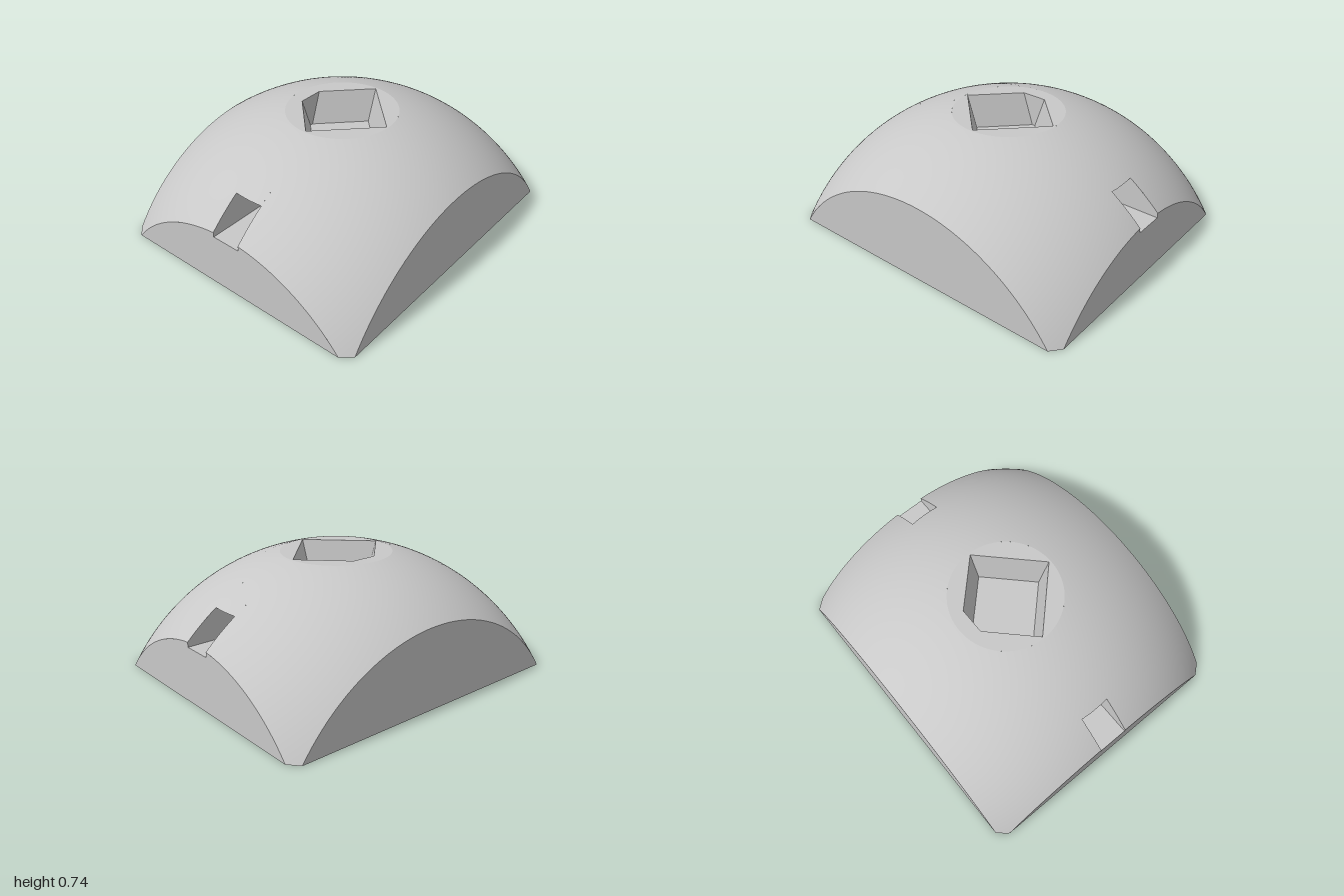
import * as THREE from 'three';

// Sphere that forms the dome, and the planes that trim it
const CY = -0.6447, R2 = 2.0396;
const HALF_X = 0.855, HALF_Z = 1, TOP = 0.742;
const radiusAt = (y) => Math.sqrt(R2 - (y - CY) ** 2);
const domeY = (x, z) => CY + Math.sqrt(Math.max(0, R2 - x * x - z * z));
const R_TOP = radiusAt(TOP), R_BASE = radiusAt(0);
const CORNER_X = Math.sqrt(R_BASE ** 2 - HALF_Z ** 2);
const CORNER_Z = Math.sqrt(R_BASE ** 2 - HALF_X ** 2);

// Square tunnel from front to back
const TW = 0.095, T_FLOOR = 0.34, T_CEIL = 0.53;
const ceilZ = (x) => Math.sqrt(radiusAt(T_CEIL) ** 2 - x * x);

// Tapered pit in the top, as [x, z] loops
const PIT_FLOOR = 0.54;
const RIM = [[0.33, 0], [0, -0.33], [-0.25, -0.08], [-0.25, 0.08], [0, 0.33]];
const FOOT = [[0.26, 0], [0, -0.26], [-0.25, -0.01], [-0.25, 0.01], [0, 0.26]];

const range = (a, b, n, f) => Array.from({ length: n + 1 }, (_, i) => f(a + (b - a) * i / n));
const vec = (list) => list.map(([x, y]) => new THREE.Vector2(x, y));
const flat = (pts) => new THREE.ShapeGeometry(new THREE.Shape(vec(pts)));

// Patch of the dome: columns over x, each running from the top disc to an outer z
function domePatch(xs, outerZ, sx, sz) {
  const rows = 32, pos = [], nor = [], index = [];
  xs.forEach((x, i) => {
    const z0 = Math.sqrt(Math.max(0, R_TOP ** 2 - x * x)), z1 = outerZ(x);
    for (let j = 0; j <= rows; j++) {
      const z = z0 + (z1 - z0) * j / rows, y = domeY(x, z);
      const n = new THREE.Vector3(sx * x, y - CY, sz * z).normalize();
      pos.push(sx * x, y, sz * z);
      nor.push(n.x, n.y, n.z);
      if (i === xs.length - 1 || j === rows) continue;
      const a = i * (rows + 1) + j, b = a + 1, c = a + rows + 1, d = c + 1;
      if (sx * sz > 0) index.push(a, b, c, b, d, c);
      else index.push(a, c, b, b, c, d);
    }
  });
  const g = new THREE.BufferGeometry();
  g.setAttribute('position', new THREE.Float32BufferAttribute(pos, 3));
  g.setAttribute('normal', new THREE.Float32BufferAttribute(nor, 3));
  g.setIndex(index);
  return g;
}

export function createModel() {
  const model = new THREE.Group();
  model.name = 'trimmedDome';
  const grey = new THREE.MeshStandardMaterial({ color: 0xc8c8c8 });
  grey.name = 'grey';
  const add = (name, geometry) => {
    const mesh = new THREE.Mesh(geometry, grey);
    mesh.name = name;
    model.add(mesh);
    return mesh;
  };

  // Dome surface: four mirrored quadrants, with the tunnel mouths left open
  const middle = range(0, TW, 6, (x) => x);
  const side = [
    ...range(Math.asin(TW / R_TOP), Math.PI / 2, 16, (t) => R_TOP * Math.sin(t)),
    ...range(R_TOP, CORNER_X, 18, (x) => x).slice(1),
    ...range(CORNER_X, HALF_X, 6, (x) => x).slice(1),
  ];
  const edgeZ = (x) => Math.min(HALF_Z, Math.sqrt(R_BASE ** 2 - x * x));
  for (const sx of [1, -1]) for (const sz of [1, -1]) {
    add('domeMiddle', domePatch(middle, ceilZ, sx, sz));
    add('domeSide', domePatch(side, edgeZ, sx, sz));
  }

  // Flat disc on top with the pit opening
  const disc = new THREE.Shape().absarc(0, 0, R_TOP, 0, Math.PI * 2);
  disc.holes.push(new THREE.Path(vec(RIM)));
  add('topDisc', new THREE.ShapeGeometry(disc, 48).rotateX(-Math.PI / 2).translate(0, TOP, 0));

  // Pit walls and floor
  const walls = [];
  RIM.forEach((a, i) => {
    const k = (i + 1) % RIM.length;
    const p = (q, y) => [q[0], y, q[1]];
    const A = p(a, TOP), B = p(RIM[k], TOP), a0 = p(FOOT[i], PIT_FLOOR), b0 = p(FOOT[k], PIT_FLOOR);
    walls.push(...b0, ...a0, ...A, ...b0, ...A, ...B);
  });
  const pit = new THREE.BufferGeometry();
  pit.setAttribute('position', new THREE.Float32BufferAttribute(walls, 3));
  pit.computeVertexNormals();
  add('pitWalls', pit);
  add('pitFloor', flat(FOOT).rotateX(-Math.PI / 2).translate(0, PIT_FLOOR, 0));

  // Front and back faces, notched by the tunnel
  const endFace = [
    ...range(CORNER_X, TW, 32, (x) => [x, domeY(x, HALF_Z)]), [TW, T_FLOOR],
    [-TW, T_FLOOR], ...range(-TW, -CORNER_X, 32, (x) => [x, domeY(x, HALF_Z)]),
  ];
  add('frontFace', flat(endFace).translate(0, 0, HALF_Z));
  add('backFace', flat(endFace).translate(0, 0, HALF_Z).rotateY(Math.PI));

  // Left and right faces, and the tunnel's side walls
  const sideFace = range(CORNER_Z, -CORNER_Z, 64, (z) => [z, domeY(HALF_X, z)]);
  const tz = ceilZ(TW);
  const tunnelWall = [
    [-HALF_Z, T_FLOOR], [HALF_Z, T_FLOOR],
    ...range(HALF_Z, tz, 8, (z) => [z, domeY(TW, z)]),
    ...range(-tz, -HALF_Z, 8, (z) => [z, domeY(TW, z)]),
  ];
  for (const s of [1, -1]) {
    const name = s > 0 ? 'left' : 'right';
    add(name + 'Face', flat(sideFace).rotateY(s * Math.PI / 2).translate(s * HALF_X, 0, 0));
    add(name + 'TunnelWall', flat(tunnelWall).rotateY(-s * Math.PI / 2).translate(s * TW, 0, 0));
  }

  // Tunnel floor and ceiling
  add('tunnelFloor', new THREE.PlaneGeometry(2 * TW, 2 * HALF_Z).rotateX(-Math.PI / 2).translate(0, T_FLOOR, 0));
  const ceiling = [
    ...range(TW, -TW, 12, (x) => [x, ceilZ(x)]),
    ...range(-TW, TW, 12, (x) => [x, -ceilZ(x)]),
  ];
  add('tunnelCeiling', flat(ceiling).rotateX(Math.PI / 2).translate(0, T_CEIL, 0));

  // Underside with slightly rounded-off corners
  const t0 = Math.atan2(CORNER_Z, HALF_X), t1 = Math.atan2(HALF_Z, CORNER_X);
  const arc = (a, b) => range(a, b, 6, (t) => [R_BASE * Math.cos(t), R_BASE * Math.sin(t)]);
  const base = [
    ...arc(t0, t1), ...arc(Math.PI - t1, Math.PI - t0),
    ...arc(Math.PI + t0, Math.PI + t1), ...arc(-t1, -t0),
  ];
  add('base', flat(base).rotateX(Math.PI / 2));

  return model;
}
